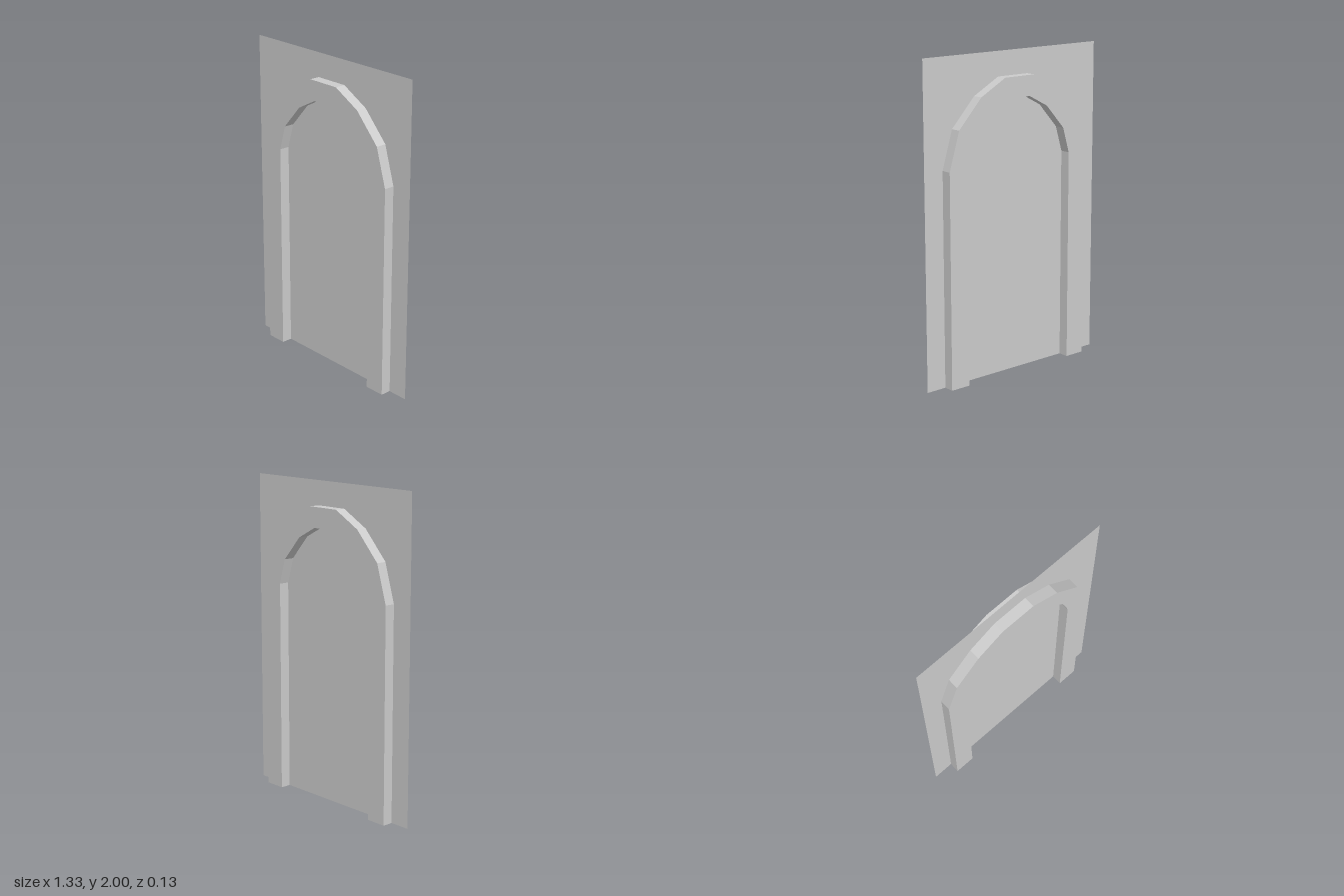
import * as THREE from 'three';

const HALF_DEPTH = 0.067;

// Right halves of the arch outlines, from floor to crown
const OUTER = [[0.533, 0], [0.533, 1.337], [0.461, 1.574], [0.295, 1.75], [0.113, 1.848]];
const INNER = [[0.4, 0], [0.4, 1.337], [0.352, 1.497], [0.216, 1.648], [0.077, 1.721]];

// Mirror a half outline into a full run from right foot to left foot
const mirrored = (half) => [...half, ...half.map(([x, y]) => [-x, y]).reverse()];

export function createModel() {
  const group = new THREE.Group();
  group.name = 'archedDoorway';

  // Paper-thin wall panel, visible from both sides
  const panel = new THREE.Mesh(
    new THREE.PlaneGeometry(1.333, 2),
    new THREE.MeshStandardMaterial({ color: 0xcccccc, side: THREE.DoubleSide, flatShading: true })
  );
  panel.name = 'wallPanel';
  panel.position.y = 1;
  group.add(panel);

  // Faceted arch frame standing proud of the wall on both faces
  const outline = [...mirrored(OUTER), ...mirrored(INNER).reverse()];
  const shape = new THREE.Shape(outline.map(([x, y]) => new THREE.Vector2(x, y)));
  const frameGeometry = new THREE.ExtrudeGeometry(shape, { depth: 2 * HALF_DEPTH, bevelEnabled: false });
  frameGeometry.translate(0, 0, -HALF_DEPTH);
  const frame = new THREE.Mesh(
    frameGeometry,
    new THREE.MeshStandardMaterial({ color: 0xcccccc, flatShading: true })
  );
  frame.name = 'archFrame';
  group.add(frame);

  return group;
}
